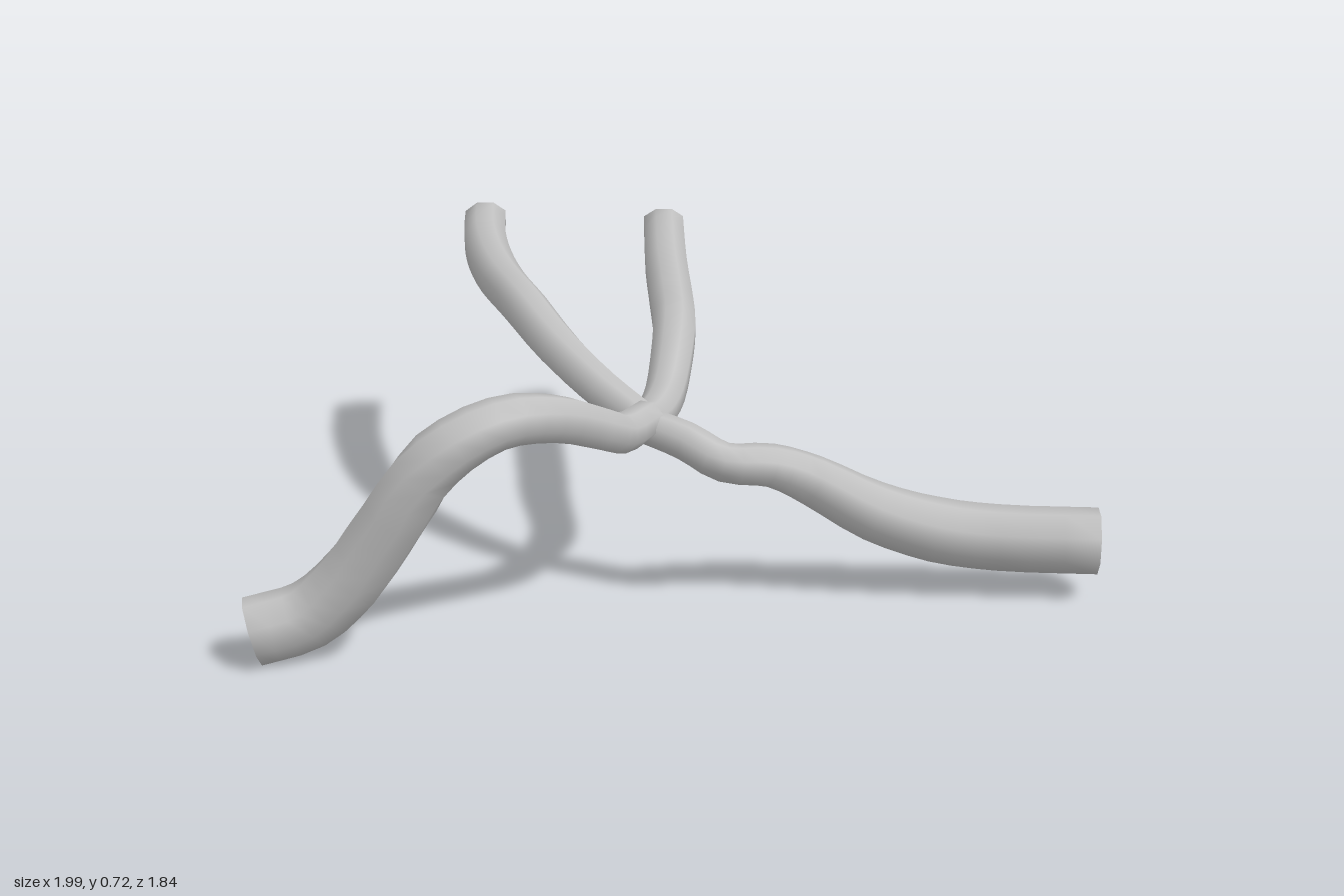
import * as THREE from 'three';

const SIDES = 8;
const STEPS = 3; // rings per control span

// Each branch runs from the junction outwards; points are [x, y, z, radius].
const BRANCHES = [
  { name: 'frontRightBranch', bevel: 0, path: [
    [-0.09, 0.45, 0.45, 0.046], [-0.15, 0.45, 0.56, 0.048], [-0.2, 0.485, 0.63, 0.051],
    [-0.3, 0.54, 0.73, 0.055], [-0.42, 0.553, 0.808, 0.06], [-0.55, 0.485, 0.845, 0.069],
    [-0.65, 0.345, 0.832, 0.076], [-0.75, 0.2, 0.815, 0.079], [-0.85, 0.11, 0.812, 0.079],
    [-0.975, 0.078, 0.832, 0.079]] },
  { name: 'leftBranch', bevel: 0, path: [
    [-0.1, 0.435, 0.445, 0.043], [0, 0.407, 0.488, 0.046], [0.09, 0.365, 0.523, 0.047],
    [0.2, 0.35, 0.502, 0.052], [0.3, 0.303, 0.475, 0.062], [0.45, 0.218, 0.457, 0.073],
    [0.6, 0.168, 0.452, 0.079], [0.75, 0.148, 0.457, 0.08], [0.988, 0.146, 0.48, 0.08]] },
  { name: 'backStraightBranch', bevel: 1, path: [
    [-0.1, 0.44, 0.45, 0.043], [-0.072, 0.432, 0.36, 0.048], [-0.045, 0.45, 0.25, 0.051],
    [-0.026, 0.51, 0.12, 0.055], [-0.018, 0.549, 0, 0.058], [-0.022, 0.567, -0.2, 0.06],
    [-0.032, 0.594, -0.5, 0.061], [-0.035, 0.638, -0.865, 0.061]] },
  { name: 'backCurvedBranch', bevel: 1, path: [
    [-0.09, 0.44, 0.455, 0.043], [-0.19, 0.49, 0.36, 0.048], [-0.3, 0.555, 0.22, 0.054],
    [-0.395, 0.618, 0.04, 0.058], [-0.46, 0.635, -0.15, 0.06], [-0.505, 0.648, -0.35, 0.061],
    [-0.53, 0.662, -0.53, 0.061], [-0.543, 0.677, -0.76, 0.061]] },
];

// Tapered tube with smooth sides, flat caps and an optionally slanted far end.
function branchGeometry(path, bevel) {
  const curve = new THREE.CatmullRomCurve3(path.map(([x, y, z]) => new THREE.Vector3(x, y, z)));
  const spans = path.length - 1;
  const rings = spans * STEPS;
  const yAxis = new THREE.Vector3(0, 1, 0);
  const positions = [];
  const index = [];

  for (let i = 0; i <= rings; i++) {
    const t = i / rings;
    const k = Math.min(Math.floor(i / STEPS), spans - 1);
    const radius = THREE.MathUtils.lerp(path[k][3], path[k + 1][3], i / STEPS - k);
    const centre = curve.getPoint(t);
    const tangent = curve.getTangent(t);
    const side = tangent.clone().cross(yAxis).normalize();
    const up = side.clone().cross(tangent);
    for (let j = 0; j < SIDES; j++) {
      const angle = (j + 0.5) / SIDES * Math.PI * 2;
      const h = Math.sin(angle) * radius;
      const p = centre.clone().addScaledVector(side, Math.cos(angle) * radius).addScaledVector(up, h);
      if (i === rings) p.addScaledVector(tangent, -h * bevel);
      positions.push(p.x, p.y, p.z);
      if (i < rings) {
        const a = i * SIDES + j;
        const b = i * SIDES + (j + 1) % SIDES;
        index.push(a, a + SIDES, b, b, a + SIDES, b + SIDES);
      }
    }
  }

  // Caps get their own vertices so that the rims stay sharp
  for (const ring of [0, rings]) {
    const base = positions.length / 3;
    positions.push(...positions.slice(ring * SIDES * 3, (ring + 1) * SIDES * 3));
    for (let j = 1; j < SIDES - 1; j++) {
      if (ring === 0) index.push(base, base + j, base + j + 1);
      else index.push(base, base + j + 1, base + j);
    }
  }

  const geometry = new THREE.BufferGeometry();
  geometry.setAttribute('position', new THREE.Float32BufferAttribute(positions, 3));
  geometry.setIndex(index);
  geometry.computeVertexNormals();
  return geometry;
}

export function createModel() {
  const group = new THREE.Group();
  group.name = 'branchingTubes';
  const grey = new THREE.MeshStandardMaterial({ color: 0xc0c0c0 });
  grey.name = 'lightGrey';
  for (const { name, path, bevel } of BRANCHES) {
    const mesh = new THREE.Mesh(branchGeometry(path, bevel), grey);
    mesh.name = name;
    group.add(mesh);
  }
  return group;
}
